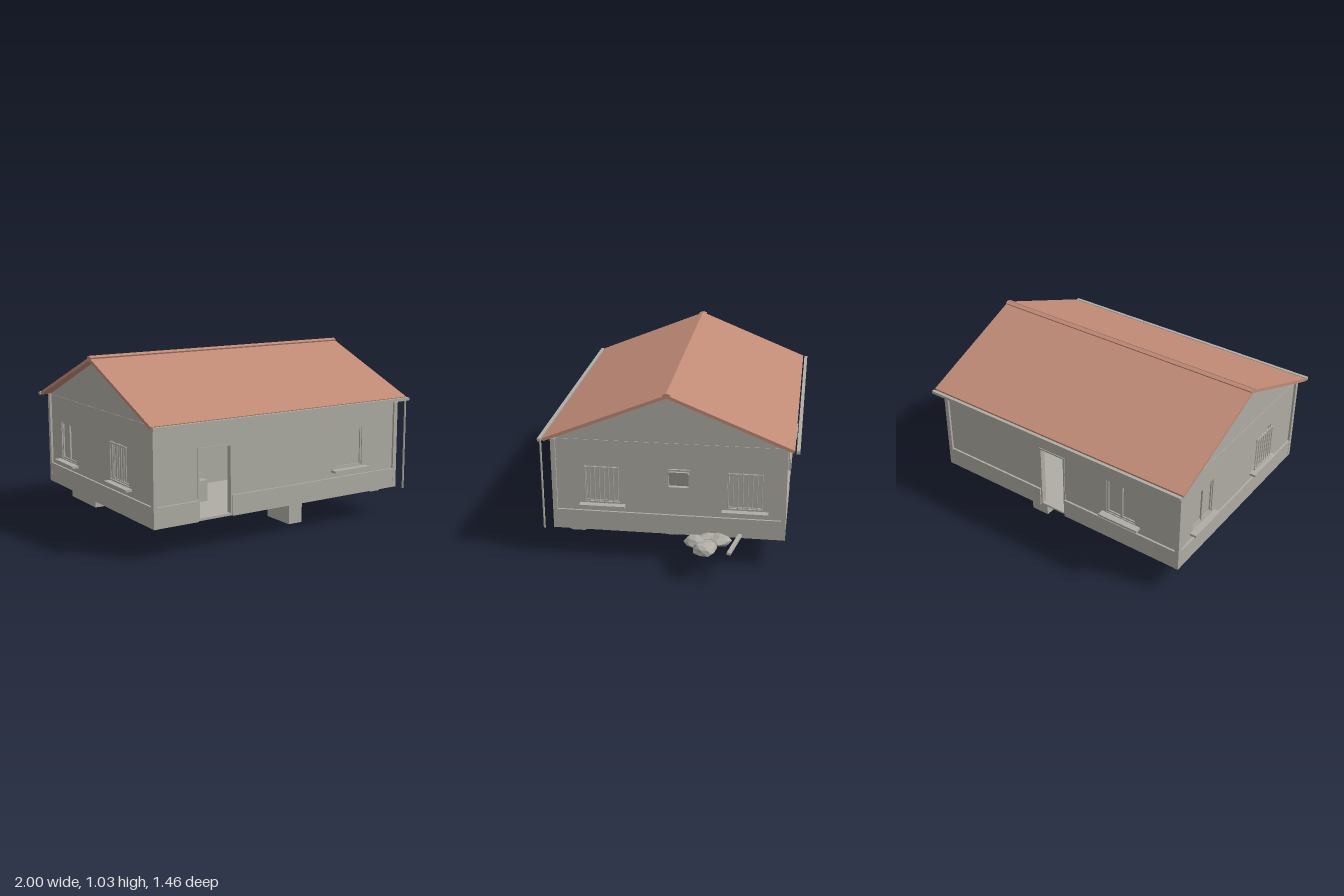
import * as THREE from 'three';

const grey = new THREE.MeshStandardMaterial({ color: 0xaeaca4 });
grey.name = 'plasterGrey';
const clay = new THREE.MeshStandardMaterial({ color: 0xc08a76 });
clay.name = 'roofClay';

const BASE = 0.175, EAVE = 0.725, THICK = 0.03, CX = -0.1225;
const HALF_LONG = 0.8325, HALF_GABLE = 0.65;

function add(parent, name, geo, mat = grey) {
  const m = new THREE.Mesh(geo, mat);
  m.name = name;
  parent.add(m);
  return m;
}

// Box given by its minimum and maximum on each axis
function box(parent, name, x0, x1, y0, y1, z0, z1, mat = grey) {
  const m = add(parent, name, new THREE.BoxGeometry(x1 - x0, y1 - y0, z1 - z0), mat);
  m.position.set((x0 + x1) / 2, (y0 + y1) / 2, (z0 + z1) / 2);
  return m;
}

// Wall with openings; local x runs along it, local z points outwards
function facade(parent, name, half, peak, x, z, angle, openings) {
  const g = new THREE.Group();
  g.name = name;
  g.position.set(x, 0, z);
  g.rotation.y = angle;
  parent.add(g);
  const s = new THREE.Shape();
  s.moveTo(-half, BASE);
  s.lineTo(half, BASE);
  s.lineTo(half, EAVE);
  if (peak) s.lineTo(0, peak);
  s.lineTo(-half, EAVE);
  s.closePath();
  for (const [u0, u1, y0, y1] of openings) {
    const h = new THREE.Path();
    h.moveTo(u0, y0);
    h.lineTo(u0, y1);
    h.lineTo(u1, y1);
    h.lineTo(u1, y0);
    h.closePath();
    s.holes.push(h);
  }
  const geo = new THREE.ExtrudeGeometry(s, { depth: THICK, bevelEnabled: false });
  geo.translate(0, 0, -THICK);
  add(g, 'wall', geo);
  // Plinth, broken at the doors
  let from = -half;
  for (const [u0, u1, y0] of [...openings].sort((a, b) => a[0] - b[0])) {
    if (y0 > 0.29) continue;
    box(g, 'plinth', from, u0, BASE, 0.292, 0, 0.012);
    from = u1;
  }
  box(g, 'plinth', from, half, BASE, 0.292, 0, 0.012);
  if (peak) box(g, 'eaveBand', -half, half, EAVE - 0.004, EAVE, 0, 0.003);
  return g;
}

function frame(g, u0, u1, y0, y1, w0, w1, t) {
  box(g, 'frameSide', u0, u0 + t, y0, y1, w0, w1);
  box(g, 'frameSide', u1 - t, u1, y0, y1, w0, w1);
  box(g, 'frameTop', u0 + t, u1 - t, y1 - t, y1, w0, w1);
  box(g, 'frameBottom', u0 + t, u1 - t, y0, y0 + t, w0, w1);
}

const WIN = [0.345, 0.572];
const hole = (u, w = 0.2) => [u - w / 2, u + w / 2, ...WIN];

// Window with sill, and either a mullion, bars or a plain pane
function windowUnit(g, u, kind) {
  const [u0, u1, y0, y1] = hole(u);
  frame(g, u0, u1, y0, y1, -0.026, -0.006, 0.01);
  box(g, 'pane', u0, u1, y0, y1, -0.02, -0.014);
  box(g, 'sill', u0 - 0.03, u1 + 0.03, 0.325, 0.339, -0.01, 0.04);
  if (kind === 'mullion') box(g, 'mullion', u - 0.007, u + 0.007, y0, y1, -0.026, -0.004);
  if (kind === 'bars') {
    for (const y of [y0 + 0.004, y1 - 0.012]) box(g, 'barRail', u0, u1, y, y + 0.008, 0.008, 0.018);
    for (let i = 0; i < 8; i++) {
      const b = add(g, 'bar', new THREE.CylinderGeometry(0.0035, 0.0035, y1 - y0, 6));
      b.position.set(u0 + 0.006 + i * 0.0268, (y0 + y1) / 2, 0.013);
    }
  }
}

function rock(parent, x, y, z, sx, sy, sz, seed) {
  const geo = new THREE.IcosahedronGeometry(1, 1);
  const p = geo.attributes.position;
  for (let i = 0; i < p.count; i++) {
    const a = p.getX(i), b = p.getY(i), c = p.getZ(i);
    const k = 0.9 + 0.17 * Math.sin(a * 3.1 + seed) * Math.cos(c * 2.7 + seed * 2) + 0.08 * Math.sin(b * 5 + seed);
    p.setXYZ(i, a * k * sx, b * k * sy, c * k * sz);
  }
  geo.computeVertexNormals();
  add(parent, 'rubbleRock', geo).position.set(x, y, z);
}

export function createModel() {
  const house = new THREE.Group();
  house.name = 'house';
  const xL = CX - HALF_LONG, xR = CX + HALF_LONG;

  // Floor and inner partition
  box(house, 'floor', xL, xR, BASE, 0.187, -HALF_GABLE, HALF_GABLE);
  box(house, 'partition', xL + THICK, xR - THICK, 0.187, EAVE, -0.03, -0.01);

  // Front: open doorway and plain window
  const front = facade(house, 'front', HALF_LONG, 0, CX, HALF_GABLE, 0,
    [[-0.69 - CX, -0.47 - CX, 0.187, 0.58], hole(0.357 - CX)]);
  windowUnit(front, 0.357 - CX, 'plain');
  // Back: open doorway and two-pane window
  const back = facade(house, 'back', HALF_LONG, 0, CX, -HALF_GABLE, Math.PI,
    [[CX + 0.0, CX + 0.18, 0.187, 0.59], hole(CX + 0.575)]);
  windowUnit(back, CX + 0.575, 'mullion');
  // Right gable: two barred windows and a small vent
  const right = facade(house, 'rightGable', HALF_GABLE, 1.0, xR, 0, Math.PI / 2,
    [hole(-0.375), hole(0.435), [0.003, 0.117, 0.46, 0.56]]);
  windowUnit(right, -0.375, 'bars');
  windowUnit(right, 0.435, 'bars');
  box(right, 'ventLintel', 0.0, 0.12, 0.562, 0.572, 0, 0.012);
  box(right, 'ventSash', 0.005, 0.115, 0.462, 0.558, -0.012, -0.004).rotation.x = 0.3;
  // Left gable: one two-pane and one barred window
  const left = facade(house, 'leftGable', HALF_GABLE, 1.0, xL, 0, -Math.PI / 2, [hole(-0.4), hole(0.27)]);
  windowUnit(left, -0.4, 'mullion');
  windowUnit(left, 0.27, 'bars');

  // Corner posts
  for (const x of [xL, xR]) for (const z of [-HALF_GABLE, HALF_GABLE]) {
    box(house, 'cornerPost', x - 0.013, x + 0.013, BASE, EAVE, z - 0.013, z + 0.013);
  }

  // Door frames and leaves swung inwards
  frame(front, -0.69 - CX, -0.47 - CX, 0.18, 0.58, -0.03, 0.004, 0.01);
  frame(back, CX, CX + 0.18, 0.18, 0.59, -0.03, 0.004, 0.01);
  box(house, 'frontDoorLeaf', -0.69, -0.678, 0.19, 0.57, 0.43, 0.62);
  box(house, 'backDoorLeaf', -0.178, -0.166, 0.19, 0.58, -0.62, -0.46);

  // Roof slopes, ridge caps and gutters
  const slope = Math.atan2(0.285, 0.7), length = Math.hypot(0.285, 0.7);
  for (const s of [1, -1]) {
    const r = add(house, 'roofSlope', new THREE.BoxGeometry(1.755, 0.018, length), clay);
    r.position.set(CX, 0.8775 - 0.009 * Math.cos(slope), s * (0.35 - 0.009 * Math.sin(slope)));
    r.rotation.x = s * slope;
    const cap = add(house, 'ridgeCap', new THREE.BoxGeometry(1.755, 0.014, 0.024), clay);
    cap.position.set(CX, 1.018, s * 0.011);
    cap.rotation.x = s * slope;
    box(house, 'gutter', -1, 0.755, 0.715, 0.733, s * 0.718 - 0.01, s * 0.718 + 0.01);
  }
  const pipe = add(house, 'downpipe', new THREE.CylinderGeometry(0.006, 0.006, 0.55, 8));
  pipe.position.set(0.735, 0.45, 0.715);

  // Furniture inside the front door
  box(house, 'chest', -0.69, -0.59, 0.187, 0.28, 0.25, 0.4);
  box(house, 'cabinet', -0.57, -0.44, 0.187, 0.31, 0.2, 0.35);
  box(house, 'cabinetTop', -0.56, -0.45, 0.31, 0.345, 0.2, 0.3);
  box(house, 'innerDoor', -0.67, -0.55, 0.187, 0.57, -0.012, 0.0);

  // Blocks reaching below the floor: x0, x1, bottom, z0, z1
  const blocks = [
    [0.045, 0.14, 0, 0.265, 0.485], [0.045, 0.16, 0, -0.545, -0.325],
    [0.045, 0.21, 0.01, -0.064, -0.058],
    [0.6, 0.67, 0.145, -0.05, 0.02], [0.6, 0.67, 0.14, 0.49, 0.575],
    [-0.33, -0.25, 0.145, 0.15, 0.29], [-0.92, -0.81, 0.11, -0.45, -0.13],
    [0.31, 0.57, 0.168, 0.22, 0.44], [-0.55, -0.43, 0.162, -0.05, 0.1],
    [-0.92, -0.76, 0.165, 0.21, 0.5],
  ];
  for (const [x0, x1, y, z0, z1] of blocks) box(house, 'underfloorBlock', x0, x1, y, BASE, z0, z1);
  box(house, 'clayStrip', -0.42, -0.34, 0.165, BASE, 0.49, 0.51, clay);

  // Thin legs below the floor: xs, zs, bottom
  const legs = [
    [[-0.595, -0.38], [-0.3, -0.42], 0.05],
    [[-0.525, -0.48], [-0.2, -0.26], 0.1],
    [[0.5, 0.6], [-0.355, -0.475], 0.135],
  ];
  for (const [xs, zs, y] of legs) for (const x of xs) for (const z of zs) {
    box(house, 'leg', x - 0.006, x + 0.006, y, BASE, z - 0.006, z + 0.006);
  }

  // Rubble heap and loose beam beside the right gable
  rock(house, 0.77, 0.18, -0.3, 0.065, 0.036, 0.065, 1);
  rock(house, 0.8, 0.175, -0.17, 0.075, 0.035, 0.07, 2.3);
  rock(house, 0.88, 0.18, -0.23, 0.08, 0.036, 0.075, 4);
  rock(house, 0.75, 0.172, -0.23, 0.05, 0.034, 0.07, 5.2);
  const a = new THREE.Vector3(0.69, 0.19, -0.415), b = new THREE.Vector3(0.995, 0.215, -0.37);
  const beam = add(house, 'looseBeam', new THREE.BoxGeometry(0.022, 0.014, a.distanceTo(b)));
  beam.position.copy(a).lerp(b, 0.5);
  beam.lookAt(b);

  return house;
}
